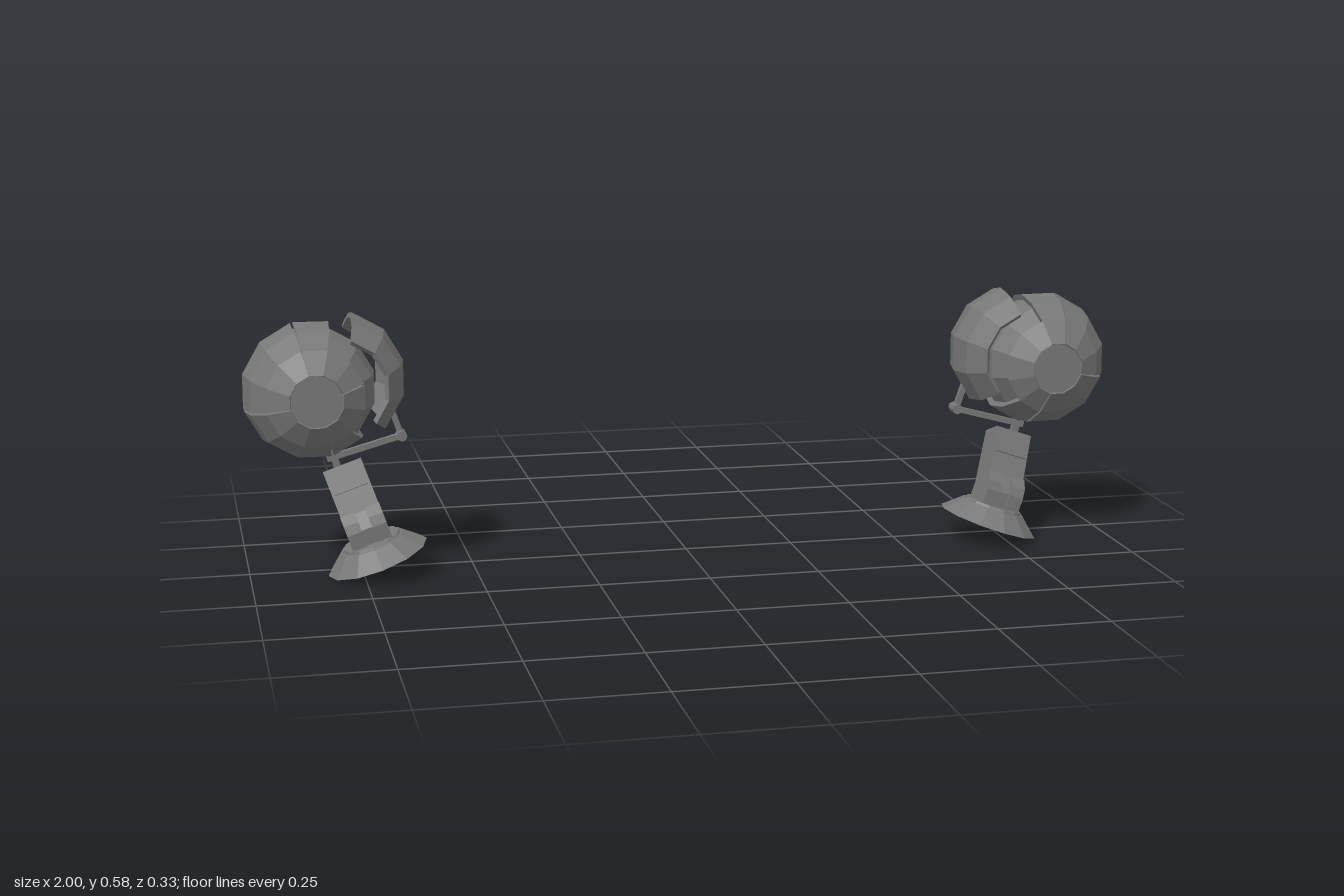
import * as THREE from 'three';

const D = Math.PI / 180;
const grey = new THREE.MeshStandardMaterial({ color: 0x777777 });
grey.name = 'grey metal';
grey.flatShading = true;

// Closed piece of a faceted spherical shell whose poles lie on z (angles in degrees)
function shell(rOut, rIn, phis, t0, t1) {
  const pos = [];
  const p = (r, t, f) => [r * Math.sin(t * D) * Math.cos(f * D), r * Math.sin(t * D) * Math.sin(f * D), r * Math.cos(t * D)];
  const quad = (a, b, c, d) => pos.push(...a, ...b, ...c, ...a, ...c, ...d);
  const n = Math.round((t1 - t0) / 22.5), last = phis.length - 1;
  for (let i = 0; i < n; i++) {
    const a = t0 + i * 22.5, b = a + 22.5;
    for (let j = 0; j < last; j++) {
      const f = phis[j], g = phis[j + 1];
      quad(p(rOut, a, f), p(rOut, b, f), p(rOut, b, g), p(rOut, a, g));
      quad(p(rIn, a, f), p(rIn, a, g), p(rIn, b, g), p(rIn, b, f));
    }
    const f = phis[0], g = phis[last];
    quad(p(rOut, a, f), p(rIn, a, f), p(rIn, b, f), p(rOut, b, f));
    quad(p(rOut, a, g), p(rOut, b, g), p(rIn, b, g), p(rIn, a, g));
  }
  for (let j = 0; j < last; j++) {
    const f = phis[j], g = phis[j + 1];
    quad(p(rOut, t0, f), p(rOut, t0, g), p(rIn, t0, g), p(rIn, t0, f));
    quad(p(rOut, t1, f), p(rIn, t1, f), p(rIn, t1, g), p(rOut, t1, g));
  }
  const geo = new THREE.BufferGeometry();
  geo.setAttribute('position', new THREE.Float32BufferAttribute(pos, 3));
  geo.computeVertexNormals();
  return geo;
}

// Square bar between two points
function bar(a, b, w) {
  const A = new THREE.Vector3(...a), B = new THREE.Vector3(...b);
  const dir = B.clone().sub(A);
  const geo = new THREE.BoxGeometry(w, dir.length(), w);
  geo.applyQuaternion(new THREE.Quaternion().setFromUnitVectors(new THREE.Vector3(0, 1, 0), dir.normalize()));
  const mid = A.add(B).multiplyScalar(0.5);
  return geo.translate(mid.x, mid.y, mid.z);
}

// Profile given as [z, y], extruded along x and centred
function sideExtrude(points, width) {
  const shape = new THREE.Shape(points.map(([z, y]) => new THREE.Vector2(-z, y)));
  return new THREE.ExtrudeGeometry(shape, { depth: width, bevelEnabled: false })
    .translate(0, 0, -width / 2).rotateY(Math.PI / 2);
}

// Mirror across x = 0, keeping faces outward
function mirrored(source) {
  const geo = source.index ? source.toNonIndexed() : source.clone();
  const pos = geo.attributes.position;
  const a = new THREE.Vector3(), b = new THREE.Vector3();
  for (let i = 0; i < pos.count; i++) pos.setX(i, -pos.getX(i));
  for (let i = 0; i < pos.count; i += 3) {
    a.fromBufferAttribute(pos, i + 1);
    b.fromBufferAttribute(pos, i + 2);
    pos.setXYZ(i + 1, b.x, b.y, b.z);
    pos.setXYZ(i + 2, a.x, a.y, a.z);
  }
  geo.computeVertexNormals();
  return geo;
}

function podParts() {
  const parts = [];
  const ball = (name, geo, dx = 0, dy = 0) => parts.push([name, geo.translate(0.848 + dx, 0.417 + dy, -0.01)]);
  const R = 0.157, RI = 0.141, s = 1;

  // Ball panels, divided by narrow seams
  ball('outerPanel', shell(R, RI, [-15 + s, 15, 45, 75 - s], 22.5, 180));
  ball('topPanel', shell(R, RI, [75 + s, 105], 22.5, 180));
  ball('lowerPanel', shell(R, RI, [255 + s, 285, 315, 345 - s], 22.5, 180));
  ball('bottomPanel', shell(R, RI, [225, 255 - s], 22.5, 180));
  for (const phis of [[105, 135, 165 - s], [165 + s, 195, 225]]) {
    ball('frontInnerPanel', shell(R, RI, phis, 22.5, 45));
    ball('backInnerPanel', shell(R, RI, phis, 135, 180));
  }
  ball('innerBall', new THREE.SphereGeometry(0.143, 12, 8, 15 * D).rotateX(Math.PI / 2));
  ball('frontDisc', new THREE.CylinderGeometry(0.058, 0.058, 0.01, 12).rotateX(Math.PI / 2).rotateZ(15 * D).translate(0, 0, 0.138));

  // Hatch swung clear of its recess, with its link arm
  ball('hatch', shell(R, 0.145, [105, 135, 165, 195, 225], 45, 135), -0.052, 0.018);
  parts.push(['hatchLink', bar([0.82, 0.256, -0.012], [0.648, 0.303, -0.012], 0.013)]);
  parts.push(['hatchLink', bar([0.65, 0.296, -0.012], [0.672, 0.36, -0.012], 0.013)]);
  parts.push(['hatchPivot', new THREE.CylinderGeometry(0.012, 0.012, 0.035, 8).rotateX(Math.PI / 2).translate(0.652, 0.303, -0.012)]);
  parts.push(['neckPost', bar([0.79, 0.21, -0.012], [0.812, 0.29, -0.012], 0.016)]);

  // Leaning stand
  const stand = (name, geo) => parts.push([name, geo.rotateZ(-19 * D).translate(0.718, 0.04, 0.05)]);
  stand('foot', new THREE.CylinderGeometry(0.074, 0.117, 0.038, 12).translate(0, 0.019, 0));
  stand('footCollar', new THREE.CylinderGeometry(0.066, 0.07, 0.008, 12).translate(0, 0.04, 0));
  stand('leg', sideExtrude([[0.03, 0.02], [0.038, 0.035], [0.038, 0.08], [0.012, 0.115], [-0.034, 0.219],
    [-0.09, 0.195], [-0.045, 0.075], [-0.045, 0.035], [-0.035, 0.02]], 0.09));
  for (const x of [-0.029, 0.029]) {
    stand('ankleLug', sideExtrude([[0.03, 0.02], [0.044, 0.035], [0.044, 0.08], [0.036, 0.102], [0.014, 0.12],
      [0, 0.1], [0, 0.02]], 0.034).translate(x, 0, 0));
  }
  stand('shinPlate', sideExtrude([[-0.006, 0.165], [-0.002, 0.167], [-0.022, 0.212], [-0.03, 0.208]], 0.08));
  return parts;
}

export function createModel() {
  const model = new THREE.Group();
  model.name = 'podPair';
  const sides = { leftPod: (g) => g, rightPod: mirrored };
  for (const [name, place] of Object.entries(sides)) {
    const pod = new THREE.Group();
    pod.name = name;
    for (const [part, geo] of podParts()) {
      const mesh = new THREE.Mesh(place(geo), grey);
      mesh.name = part;
      pod.add(mesh);
    }
    model.add(pod);
  }
  return model;
}
